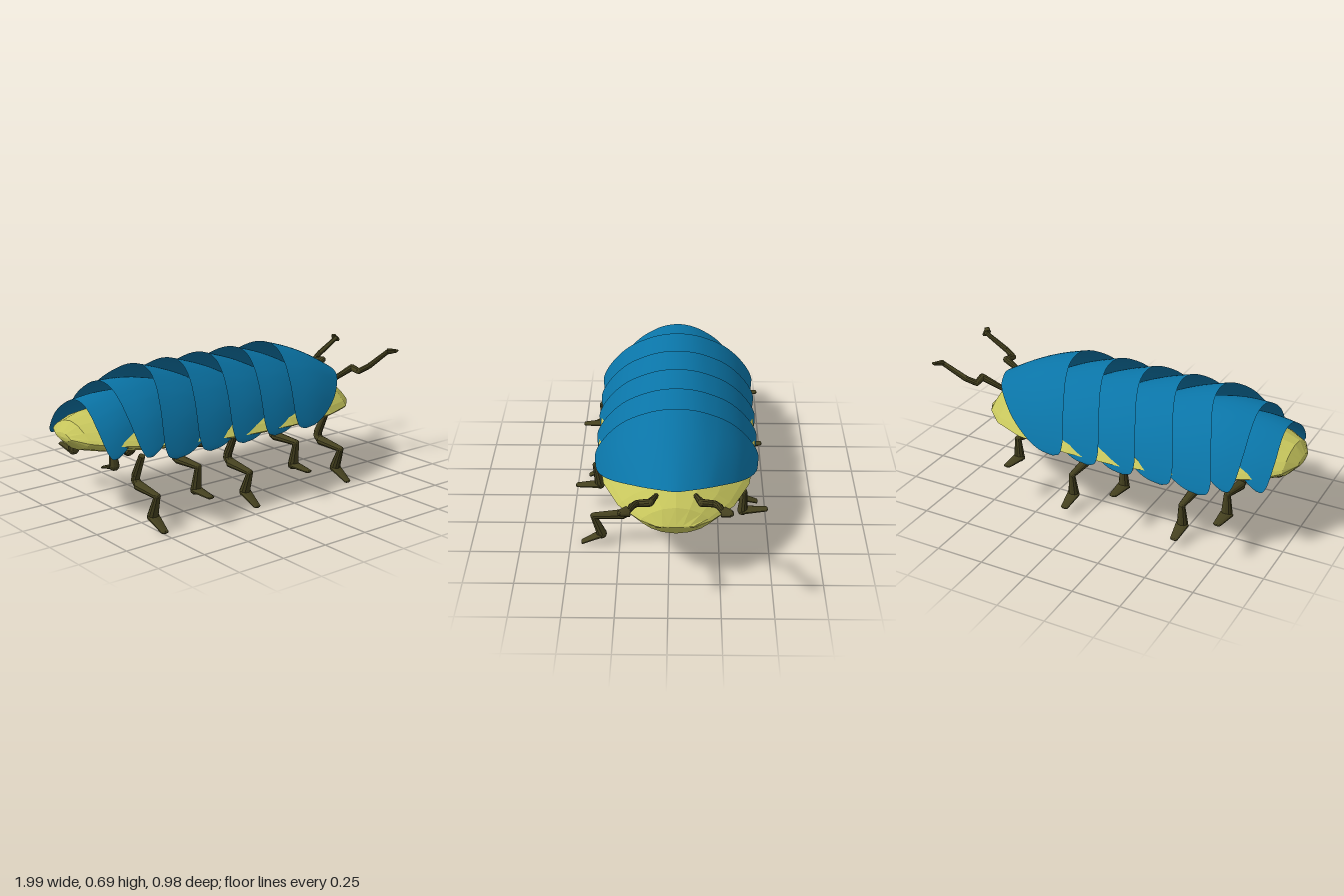
import * as THREE from 'three';

const V = (x, y, z) => new THREE.Vector3(x, y, z);
const MID_Z = -0.035;
const blue = new THREE.MeshStandardMaterial({ color: 0x0a74a6, side: THREE.DoubleSide });
const yellow = new THREE.MeshStandardMaterial({ color: 0xc6c55c, flatShading: true });
const brown = new THREE.MeshStandardMaterial({ color: 0x45411f, flatShading: true });

// Surface through a grid of points: point(u, v), u along the body, v around it
function gridGeometry(point, ni, nj) {
  const pos = [], index = [];
  for (let i = 0; i <= ni; i++) {
    for (let j = 0; j <= nj; j++) {
      pos.push(...point(i / ni, j / nj).toArray());
      if (i === ni || j === nj) continue;
      const a = i * (nj + 1) + j, b = a + nj + 1;
      index.push(a, b, a + 1, b, b + 1, a + 1);
    }
  }
  const g = new THREE.BufferGeometry();
  g.setAttribute('position', new THREE.Float32BufferAttribute(pos, 3));
  g.setIndex(index);
  g.computeVertexNormals();
  return g;
}

// Soft body: lens-shaped sections with a sharp rim [x, half width, top, rim, bottom]
function makeBody() {
  const sections = [
    [-1.0, 0, 0.41, 0.41, 0.41], [-0.995, 0.07, 0.43, 0.41, 0.39],
    [-0.95, 0.17, 0.48, 0.405, 0.345], [-0.85, 0.26, 0.5, 0.395, 0.325],
    [-0.6, 0.355, 0.52, 0.38, 0.305], [-0.2, 0.405, 0.525, 0.365, 0.293],
    [0.1, 0.405, 0.525, 0.36, 0.287], [0.4, 0.36, 0.51, 0.355, 0.277],
    [0.58, 0.28, 0.475, 0.35, 0.27], [0.69, 0.17, 0.415, 0.342, 0.265],
    [0.735, 0.09, 0.345, 0.337, 0.328], [0.74, 0, 0.337, 0.337, 0.337],
  ];
  const n = sections.length - 1;
  const geo = gridGeometry((u, v) => {
    const [x, w, top, rim, bottom] = sections[Math.round(u * n)];
    const a = v * Math.PI * 2, s = Math.sin(a);
    const y = s > 0 ? rim + (top - rim) * s ** 1.75 : rim - (rim - bottom) * (-s) ** 1.5;
    return V(x, y, w * Math.cos(a));
  }, n, 16);
  const body = new THREE.Mesh(geo, yellow);
  body.name = 'body';
  return body;
}

// Plate shape: arched rear rim with a rounded corner, and swept front rim; half of each as [x, y, z]
const mirrored = (half) => new THREE.CatmullRomCurve3([
  ...half.slice(1).reverse().map(([x, y, z]) => V(x, y, z)),
  ...half.map(([x, y, z]) => V(x, y, -z)),
]);
const rearRim = mirrored([
  [0.255, 0.697, 0], [0.244, 0.68, 0.1], [0.212, 0.628, 0.2], [0.185, 0.582, 0.26], [0.162, 0.53, 0.31],
  [0.137, 0.463, 0.36], [0.121, 0.395, 0.4], [0.129, 0.352, 0.418], [0.165, 0.334, 0.416],
]);
const frontRim = mirrored([
  [0.69, 0.505, 0], [0.667, 0.5, 0.08], [0.63, 0.487, 0.15], [0.567, 0.46, 0.22], [0.487, 0.423, 0.29],
  [0.405, 0.387, 0.342], [0.325, 0.357, 0.38], [0.25, 0.338, 0.405], [0.175, 0.332, 0.415],
]);

function plateGeometry() {
  return gridGeometry((u, v) => {
    const p = rearRim.getPoint(v).lerp(frontRim.getPoint(v), u);
    const side = p.z / 0.42;
    const bulge = 0.02 * Math.sin(Math.PI * u) * (1 - side * side);
    return p.add(V(0, bulge, 1.5 * bulge * side));
  }, 12, 64).translate(-0.12, -0.335, 0);
}

// Overlapping plates: [x of lower rear corner, scale x, y, z, tilt]
function makeShell() {
  const shell = new THREE.Group();
  shell.name = 'shell';
  const geo = plateGeometry();
  const plates = [0, 1, 2, 3, 4].map((i) => [0.12 - 0.201 * i, 1, 1, 1, 0]);
  plates.push([-0.757, 0.7, 0.81, 0.85, 0.35], [-0.897, 0.65, 0.61, 0.68, 0.43]);
  plates.forEach(([x, sx, sy, sz, tilt], i) => {
    const plate = new THREE.Mesh(geo, blue);
    plate.name = `shellPlate${i + 1}`;
    plate.position.set(x, 0.335, 0);
    plate.scale.set(sx, sy, sz);
    plate.rotation.z = tilt;
    shell.add(plate);
  });
  return shell;
}

// Jointed limb: a tapered rod per segment [start radius, end radius, sideways widening] with ball joints
function makeLimb(name, points, radii) {
  const limb = new THREE.Group();
  limb.name = name;
  for (let i = 0; i < points.length - 1; i++) {
    const a = points[i], b = points[i + 1], [r0, r1, widen] = radii[i];
    const dir = b.clone().sub(a);
    const rod = new THREE.Mesh(new THREE.CylinderGeometry(r1, r0, dir.length(), 10), brown);
    rod.name = 'segment';
    rod.position.copy(a).addScaledVector(dir, 0.5);
    rod.quaternion.setFromUnitVectors(V(0, 1, 0), dir.normalize());
    const joint = new THREE.Mesh(new THREE.IcosahedronGeometry(r1, 1), brown);
    joint.name = 'joint';
    joint.position.copy(b);
    rod.scale.x = joint.scale.x = widen;
    limb.add(rod, joint);
  }
  return limb;
}

// Legs: two alternating poses, paths given as [z, y]
function makeLegs() {
  const legs = new THREE.Group();
  legs.name = 'legs';
  const low = [[0.26, 0.34], [0.205, 0.23], [0.2, 0.205], [0.225, 0.183], [0.38, 0.172], [0.34, 0.063], [0.438, 0.011]];
  const lowBack = [[-0.25, 0.34], [-0.19, 0.24], [-0.185, 0.215], [-0.21, 0.195], [-0.37, 0.193], [-0.355, 0.078], [-0.455, 0.047]];
  const high = [[0.18, 0.34], [0.195, 0.29], [0.205, 0.272], [0.225, 0.268], [0.385, 0.27], [0.365, 0.15], [0.483, 0.143]];
  const highBack = [[-0.18, 0.34], [-0.183, 0.305], [-0.19, 0.29], [-0.21, 0.288], [-0.37, 0.325], [-0.365, 0.213], [-0.483, 0.22]];
  const radii = [[0.016, 0.022, 1], [0.022, 0.022, 1], [0.022, 0.022, 1],
    [0.024, 0.015, 1.15], [0.015, 0.026, 1.1], [0.014, 0.008, 2.5]];
  const add = (name, x, path) =>
    legs.add(makeLimb(name, path.map(([z, y]) => V(x, y, z)), radii));
  for (const x of [-0.745, -0.19, 0.42]) {
    add('leftSideLeg', x, low);
    add('rightSideLeg', x, highBack);
  }
  for (const x of [-0.51, 0.105]) {
    add('leftSideLeg', x, high);
    add('rightSideLeg', x, lowBack);
  }
  return legs;
}

// Pair of bent feelers
function makeFeelers() {
  const feelers = new THREE.Group();
  feelers.name = 'feelers';
  const radii = [[0.012, 0.019, 1], [0.019, 0.016, 1], [0.016, 0.015, 1], [0.016, 0.013, 1], [0.015, 0.009, 1.8]];
  for (const side of [1, -1]) {
    const path = [V(0.62, 0.435, 0.095), V(0.77, 0.5, 0.12), V(0.765, 0.492, 0.18),
      V(0.82, 0.515, 0.2), V(0.955, 0.582, 0.212), V(0.978, 0.588, 0.25)];
    path.forEach((p) => { p.z *= side; });
    feelers.add(makeLimb('feeler', path, radii));
  }
  return feelers;
}

export function createModel() {
  const model = new THREE.Group();
  model.name = 'beetle';
  const upper = new THREE.Group();
  upper.name = 'upperBody';
  upper.position.z = MID_Z;
  upper.add(makeBody(), makeShell(), makeFeelers());
  model.add(upper, makeLegs());
  return model;
}
